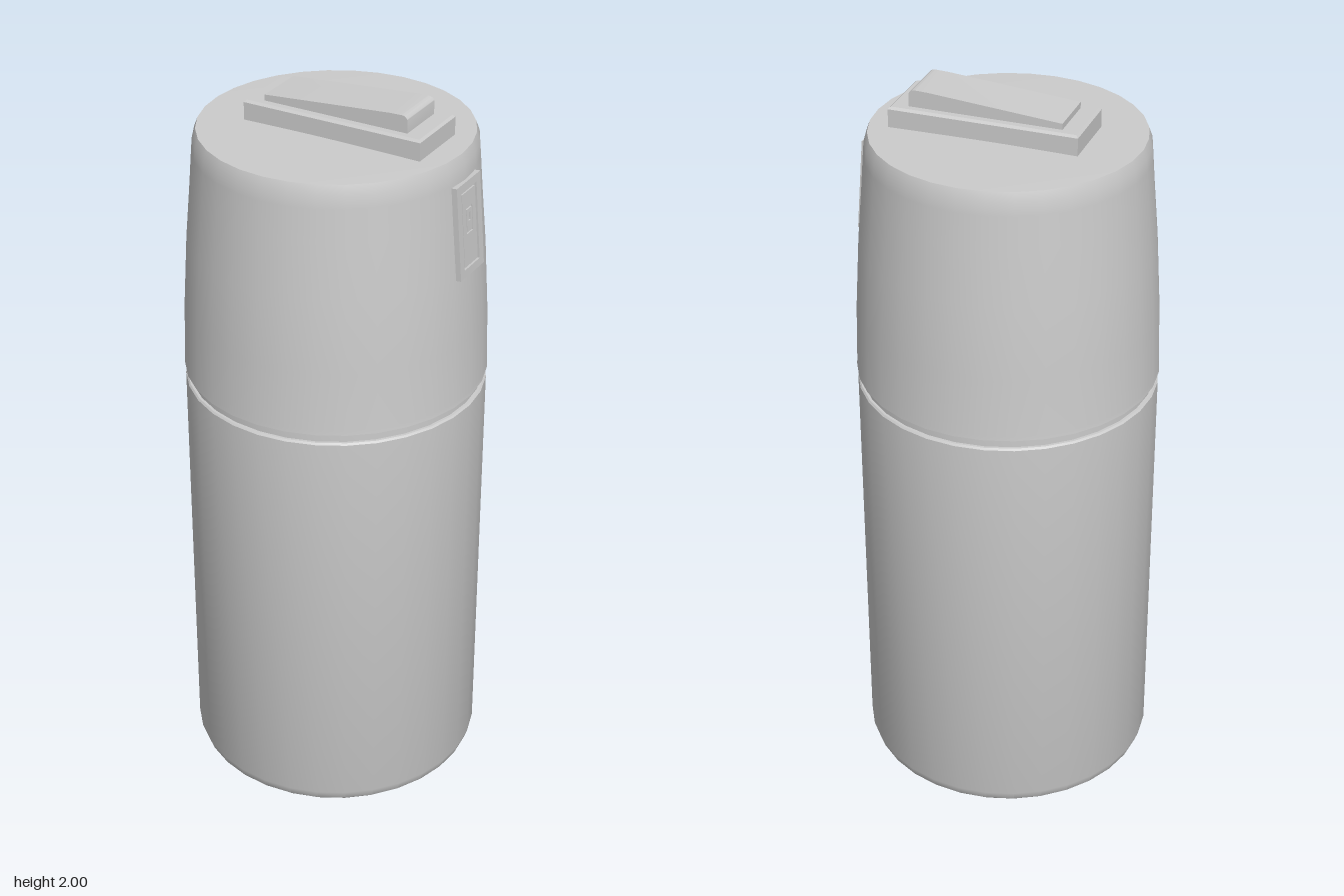
import * as THREE from 'three';
import { toCreasedNormals } from 'three/addons/utils/BufferGeometryUtils.js';

const material = new THREE.MeshStandardMaterial({ color: 0xcccccc });

function part(name, geometry, crease = 0.5) {
  const mesh = new THREE.Mesh(toCreasedNormals(geometry, crease), material);
  mesh.name = name;
  return mesh;
}

function lathe(name, profile) {
  return part(name, new THREE.LatheGeometry(profile.map(([r, y]) => new THREE.Vector2(r, y)), 32));
}

function rect(w, h, y = 0, Type = THREE.Shape) {
  const s = new Type();
  s.moveTo(-w / 2, y - h / 2);
  s.lineTo(w / 2, y - h / 2);
  s.lineTo(w / 2, y + h / 2);
  s.lineTo(-w / 2, y + h / 2);
  s.closePath();
  return s;
}

function extrude(shape, depth, bevel = 0, segments = 1) {
  return new THREE.ExtrudeGeometry(shape, {
    depth: depth - 2 * bevel, bevelEnabled: bevel > 0, bevelSize: bevel,
    bevelThickness: bevel, bevelOffset: -bevel, bevelSegments: segments,
  }).translate(0, 0, bevel);
}

export function createModel() {
  const group = new THREE.Group();

  // Cylindrical body with a rounded foot
  group.add(lathe('body', [
    [0, 0.005], [0.36, 0.005], [0.378, 0.01], [0.393, 0.024], [0.402, 0.05],
    [0.402, 1.197], [0.398, 1.202], [0, 1.202],
  ]));

  // Narrow recessed seam between body and lid
  group.add(lathe('seam', [[0.391, 1.19], [0.391, 1.24]]));

  // Tapered lid with a small rounded top edge
  group.add(lathe('lid', [
    [0, 1.228], [0.404, 1.228], [0.403, 1.24], [0.399, 1.4], [0.387, 1.6],
    [0.374, 1.75], [0.367, 1.84], [0.364, 1.875], [0.355, 1.9], [0, 1.905],
  ]));

  // Bevelled plate on top of the lid
  const plate = part('buttonPlate', extrude(rect(0.503, 0.186), 0.065, 0.006));
  plate.rotation.x = -Math.PI / 2;
  plate.position.set(0.0365, 1.89, 0);
  group.add(plate);

  // Wedge-shaped push button, higher on the left
  const wedge = new THREE.Shape();
  wedge.moveTo(-0.167, 1.94);
  wedge.lineTo(0.24, 1.94);
  wedge.lineTo(0.24, 1.985);
  wedge.quadraticCurveTo(0.24, 2, 0.222, 2);
  wedge.lineTo(0.19, 1.999);
  wedge.lineTo(-0.167, 1.971);
  wedge.closePath();
  const button = part('button', extrude(wedge, 0.14));
  button.position.z = -0.07;
  group.add(button);

  // Lock panel leaning with the side of the lid
  const lock = new THREE.Group();
  lock.name = 'lockPanel';
  const addLock = (name, shape, depth, back) => {
    const mesh = part(name, extrude(shape, depth), 0.3);
    mesh.rotation.y = Math.PI / 2;
    mesh.position.x = back;
    lock.add(mesh);
  };
  const frame = rect(0.126, 0.25);
  frame.holes.push(rect(0.082, 0.208, 0, THREE.Path));
  addLock('lockFrame', frame, 0.03, -0.022);
  addLock('lockRecess', rect(0.09, 0.216), 0.02, -0.018);

  // Raised slider slot with a small arched catch
  const slider = rect(0.07, 0.194);
  slider.holes.push(rect(0.034, 0.07, 0.02, THREE.Path));
  addLock('lockSlider', slider, 0.02, -0.014);
  const arch = rect(0.028, 0.058, 0.02);
  arch.holes.push(rect(0.012, 0.022, 0.028, THREE.Path));
  addLock('lockCatch', arch, 0.02, -0.014);

  lock.rotation.z = 0.08;
  lock.position.set(0.378, 1.71, 0);
  group.add(lock);

  return group;
}
